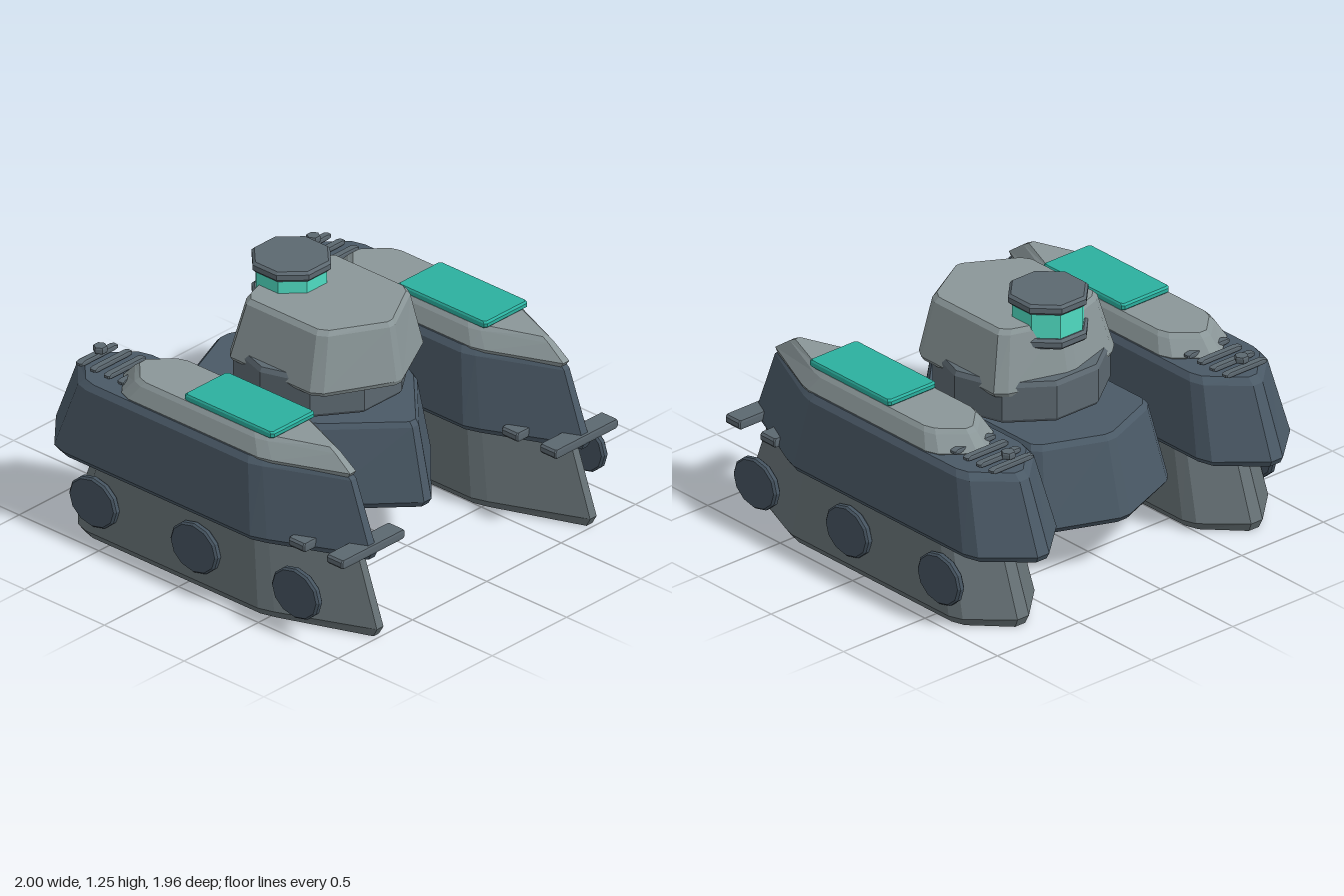
import * as THREE from 'three';

const material = (color) => new THREE.MeshStandardMaterial({ color, flatShading: true });
const mats = {
  hull: material(0x4a5966), lower: material(0x667175), deck: material(0x8a9698),
  fitting: material(0x5c6870), wheel: material(0x45535f), panel: material(0x2bb09f), lens: material(0x4fdcc2),
};

// Mirror a half outline (tail to nose, z > 0) into a closed loop.
const mirrored = (half) => [...half, ...half.map(([x, z]) => [x, -z]).reverse()];

// Regular polygon; turn is in radians.
const polygon = (sides, r, turn = 0) => Array.from({ length: sides }, (_, i) => {
  const a = turn + (i / sides) * Math.PI * 2;
  return [-Math.cos(a) * r, Math.sin(a) * r];
});

// Rectangle outline with slightly cut corners.
const plate = (w, d, cut) => mirrored([[-w, d - cut], [-w + cut, d], [w - cut, d], [w, d - cut]]);

// Solid through scaled copies of an outline; levels are [y, scaleX, scaleZ, shiftX].
function loft(outline, levels) {
  const rings = levels.map(([y, sx, sz = sx, dx = 0]) => outline.map(([x, z]) => [x * sx + dx, y, z * sz]));
  const n = outline.length, pos = [];
  const tri = (a, b, c) => pos.push(...a, ...b, ...c);
  for (let k = 0; k < rings.length - 1; k++) {
    const a = rings[k], b = rings[k + 1];
    for (let i = 0; i < n; i++) {
      const j = (i + 1) % n;
      tri(a[i], a[j], b[j]);
      tri(a[i], b[j], b[i]);
    }
  }
  const low = rings[0], high = rings[rings.length - 1];
  for (let i = 1; i < n - 1; i++) {
    tri(high[0], high[i], high[i + 1]);
    tri(low[0], low[i + 1], low[i]);
  }
  const g = new THREE.BufferGeometry();
  g.setAttribute('position', new THREE.Float32BufferAttribute(pos, 3));
  g.computeVertexNormals();
  return g;
}

// Bevelled slab of height h centred on y = 0.
const slab = (outline, h, inset = 0.95) =>
  loft(outline, [[-h / 2, inset], [-h / 4, 1], [h / 4, 1], [h / 2, inset]]);

function add(parent, name, geometry, mat, x = 0, y = 0, z = 0) {
  const mesh = new THREE.Mesh(geometry, mat);
  mesh.name = name;
  mesh.position.set(x, y, z);
  parent.add(mesh);
  return mesh;
}

// Side pod; side is +1 or -1 and decides where the wheels sit.
function createPod(side) {
  const pod = new THREE.Group();
  pod.name = side > 0 ? 'frontPod' : 'rearPod';

  const base = mirrored([[-0.86, 0.035], [-0.69, 0.22], [-0.62, 0.245], [0.46, 0.245], [0.54, 0.22], [1, 0.022]]);
  add(pod, 'trackHousing', loft(base, [
    [0, 0.975, 0.87], [0.045, 1], [0.38, 0.872, 0.88, 0.01], [0.41, 0.84, 0.82, 0.01],
  ]), mats.lower);

  const body = mirrored([[-1, 0.035], [-0.82, 0.24], [-0.74, 0.265], [0.43, 0.265], [0.51, 0.237], [0.96, 0.022]]);
  add(pod, 'podHull', loft(body, [
    [0.39, 0.985, 0.92], [0.42, 1], [0.76, 0.868, 0.82], [0.79, 0.83, 0.74],
  ]), mats.hull);

  const deck = mirrored([[-0.58, 0.03], [-0.465, 0.168], [-0.4, 0.192], [0.41, 0.192], [0.48, 0.172], [0.83, 0.02]]);
  add(pod, 'deck', loft(deck, [
    [0.77, 0.98, 0.95], [0.795, 1], [0.865, 0.885, 0.83], [0.885, 0.84, 0.74],
  ]), mats.deck);

  add(pod, 'deckPanel', slab(plate(0.28, 0.145, 0.012), 0.035, 0.965), mats.panel, 0.18, 0.902);

  // Vent bars and the small hexagonal cap at the tail
  for (let i = 0; i < 4; i++) {
    add(pod, 'ventBar', slab(plate(0.018, 0.128, 0.006), 0.024, 0.85), mats.fitting, -0.775 + i * 0.087, 0.81);
  }
  add(pod, 'ventCap', slab(polygon(6, 0.035, Math.PI / 6), 0.032, 0.9), mats.fitting, -0.755, 0.85);

  // Cross fins at the nose
  for (const x of [0.67, 0.91]) {
    add(pod, 'crossFin', slab(plate(0.05, 0.213, 0.006), 0.045, 0.96), mats.fitting, x, 0.44);
  }

  // Wheels on the outer face
  for (const x of [-0.565, 0.07, 0.705]) {
    const wheel = add(pod, 'wheel', slab(polygon(12, 0.148), 0.04, 0.93), mats.wheel, x, 0.217, side * 0.243);
    wheel.rotation.x = side * Math.PI / 2;
    wheel.scale.z = 0.86;
  }
  pod.position.z = side * 0.717;
  return pod;
}

export function createModel() {
  const model = new THREE.Group();
  model.name = 'twinPodVehicle';
  model.add(createPod(1), createPod(-1));

  // Central hull
  const hull = mirrored([[-0.76, 0.03], [-0.625, 0.375], [-0.58, 0.418], [0.23, 0.418], [0.29, 0.385], [0.63, 0.025]]);
  add(model, 'centralHull', loft(hull, [
    [0.255, 0.97, 0.95], [0.285, 1], [0.645, 0.88, 0.86], [0.67, 0.85, 0.82],
  ]), mats.hull);

  // Turret ring and turret
  add(model, 'turretRing', loft(polygon(10, 0.41, Math.PI / 10), [
    [0.688, 0.97], [0.705, 1], [0.87, 1], [0.893, 0.97],
  ]), mats.fitting, -0.04);
  const turret = mirrored([[-0.4, 0.03], [-0.31, 0.32], [-0.265, 0.37], [0.235, 0.37], [0.29, 0.335], [0.455, 0.022]]);
  add(model, 'turret', loft(turret, [
    [0.828, 0.98, 0.96], [0.85, 1], [1.115, 0.875, 0.825, 0.01], [1.138, 0.84, 0.77, 0.01],
  ]), mats.deck);

  // Lookout: base collar, lens drum and cap
  const turn = Math.PI / 8;
  const lookout = new THREE.Group();
  lookout.name = 'lookout';
  lookout.position.x = -0.225;
  add(lookout, 'lookoutCollar', slab(polygon(8, 0.195, turn), 0.052, 0.93), mats.fitting, 0, 1.052);
  add(lookout, 'lookoutLens', slab(polygon(8, 0.175, turn), 0.17, 1), mats.lens, 0, 1.14);
  add(lookout, 'lookoutCap', slab(polygon(8, 0.195, turn), 0.052, 0.93), mats.fitting, 0, 1.228);
  model.add(lookout);
  return model;
}
